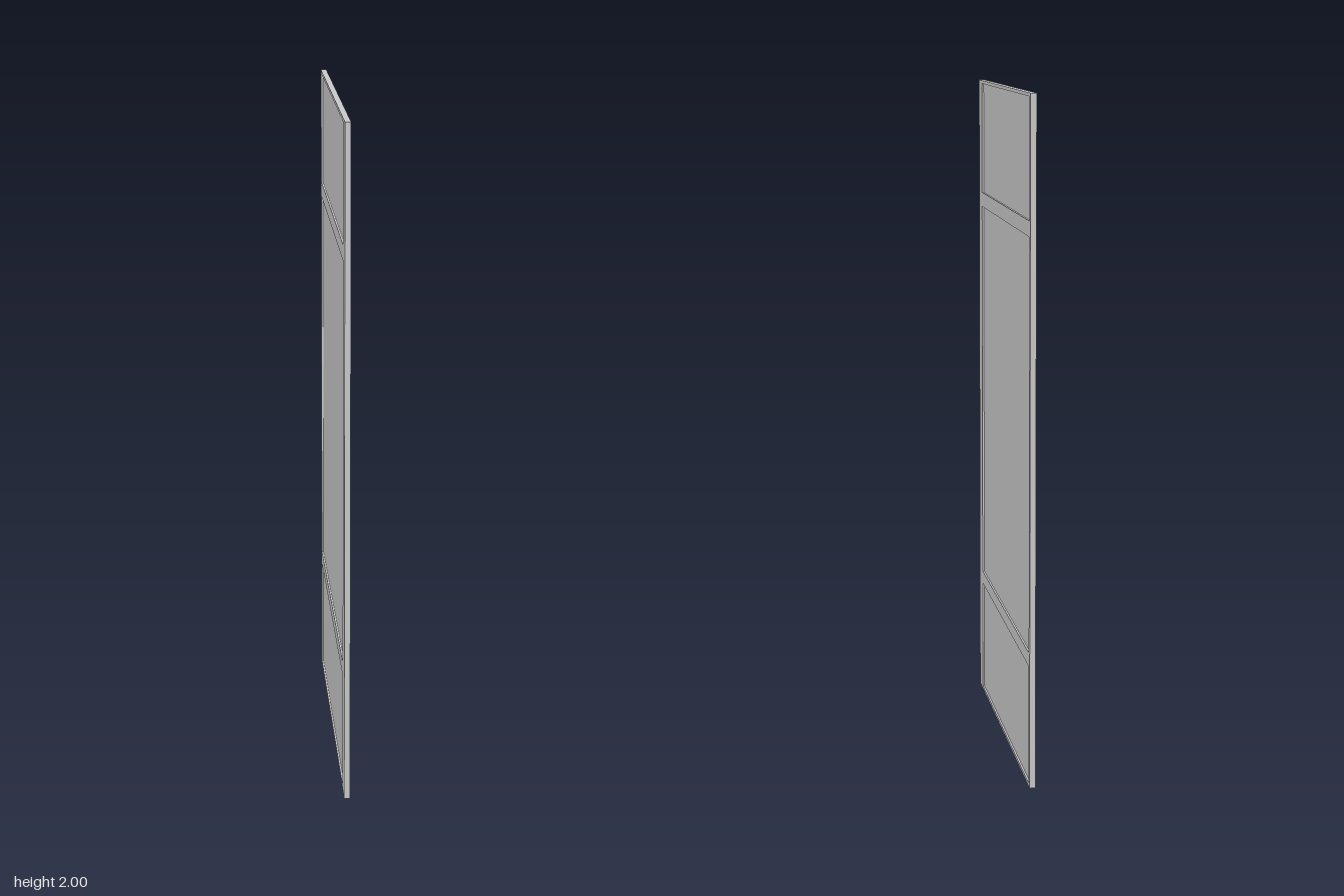
import * as THREE from 'three';

const THICK = 0.017, PANEL_THICK = 0.006;
const Z_BACK = -0.55, Z_FRONT = 0.55;      // outer edges
const OPEN_BACK = -0.53, OPEN_FRONT = 0.48; // opening edges: the front stile is wider
const OPENINGS = [[0.01, 0.36], [0.4, 1.6], [1.645, 1.99]];

export function createModel() {
  const group = new THREE.Group();
  const material = new THREE.MeshStandardMaterial({ color: 0xcccccc, flatShading: true });

  // rectangle outline in the (z, y) plane; the shape's x axis is -z after rotation
  const rect = (Target, z0, z1, y0, y1) => {
    const r = new Target();
    r.moveTo(-z1, y0);
    r.lineTo(-z0, y0);
    r.lineTo(-z0, y1);
    r.lineTo(-z1, y1);
    r.closePath();
    return r;
  };

  // frame: stiles and rails in one piece around three openings
  const outline = rect(THREE.Shape, Z_BACK, Z_FRONT, 0, 2);
  for (const [y0, y1] of OPENINGS) outline.holes.push(rect(THREE.Path, OPEN_BACK, OPEN_FRONT, y0, y1));
  const frameGeometry = new THREE.ExtrudeGeometry(outline, { depth: THICK, bevelEnabled: false });
  frameGeometry.translate(0, 0, -THICK / 2).rotateY(Math.PI / 2);
  const frame = new THREE.Mesh(frameGeometry, material);
  frame.name = 'frame';
  group.add(frame);

  // thin infill panels, recessed on both sides
  const names = ['lowerPanel', 'middlePanel', 'upperPanel'];
  OPENINGS.forEach(([y0, y1], i) => {
    const panel = new THREE.Mesh(
      new THREE.BoxGeometry(PANEL_THICK, y1 - y0, OPEN_FRONT - OPEN_BACK), material);
    panel.position.set(0, (y0 + y1) / 2, (OPEN_FRONT + OPEN_BACK) / 2);
    panel.name = names[i];
    group.add(panel);
  });

  return group;
}
